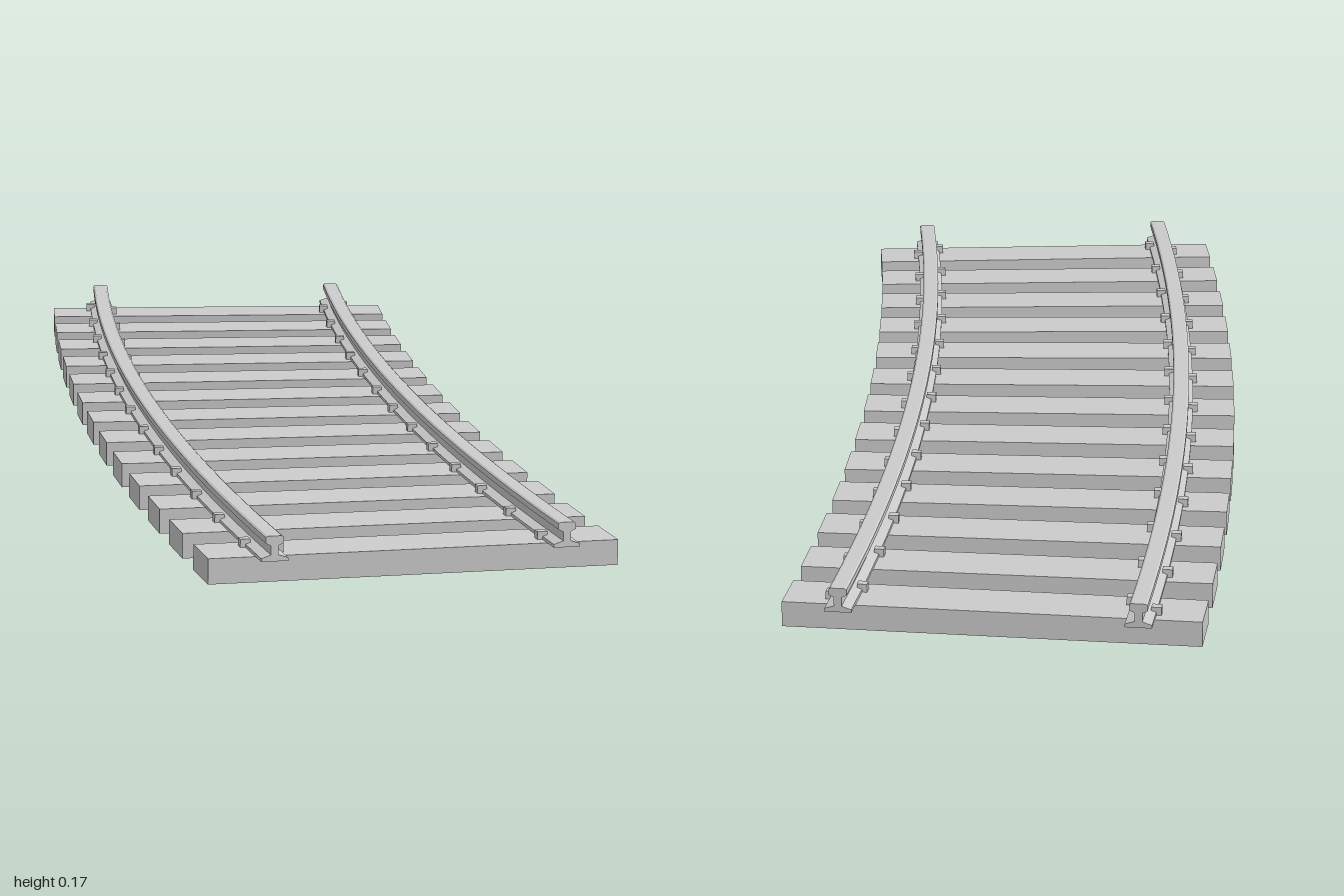
import * as THREE from 'three';

const R = 11.4;                                   // centreline radius
const HALF = THREE.MathUtils.degToRad(5.625);     // half of the swept angle
const TIES = 13, RISE = 0.094, GAUGE = 0.462;
const TIE_W = 0.1, TIE_H = 0.04, TIE_L = 0.65;
const CENTRE_Z = R - 0.025;                       // arc centre in the local frame
const SLOPE = Math.atan(RISE / (2 * R * HALF));

// Point on the climbing curve: angle, radius, height above the tie bottoms
function onTrack(a, r, h) {
  const ground = -0.0015 + RISE * (a + HALF) / (2 * HALF);
  return new THREE.Vector3(r * Math.sin(a), ground + h, CENTRE_Z - r * Math.cos(a));
}

function place(mesh, a, r, h) {
  mesh.position.copy(onTrack(a, r, h));
  mesh.rotation.set(0, -a, SLOPE, 'YXZ');
  return mesh;
}

// I-shaped rail section, swept along the curve
function railGeometry(radius) {
  const half = [[0.021, 0], [0.021, 0.005], [0.006, 0.010], [0.006, 0.024],
    [0.014, 0.028], [0.014, 0.037], [0.011, 0.039]];
  const pts = [...half, ...half.map(([x, y]) => [-x, y]).reverse()];
  const shape = new THREE.Shape(pts.map(([x, y]) => new THREE.Vector2(x, y)));
  const geo = new THREE.ExtrudeGeometry(shape, { depth: 1, steps: 26, bevelEnabled: false });
  const pos = geo.attributes.position;
  for (let i = 0; i < pos.count; i++) {
    const a = -HALF + 2 * HALF * pos.getZ(i);
    const p = onTrack(a, radius + pos.getX(i), TIE_H + pos.getY(i));
    pos.setXYZ(i, p.x, p.y, p.z);
  }
  geo.computeVertexNormals();
  return geo;
}

export function createModel() {
  const model = new THREE.Group();
  model.name = 'curvedTrack';
  const track = new THREE.Group();
  track.name = 'track';
  track.rotation.y = Math.PI / 4;
  model.add(track);

  const mat = new THREE.MeshStandardMaterial({ color: 0xcccccc, flatShading: true });
  const tieGeo = new THREE.BoxGeometry(TIE_W, TIE_H, TIE_L);
  const spikeGeo = new THREE.BoxGeometry(0.016, 0.014, 0.016);

  // Rails
  for (const side of [-1, 1]) {
    const rail = new THREE.Mesh(railGeometry(R + side * GAUGE / 2), mat);
    rail.name = side > 0 ? 'outerRail' : 'innerRail';
    track.add(rail);
  }

  // Ties, each with a staggered pair of spikes at both rails
  for (let i = 0; i < TIES; i++) {
    const a = -HALF + 2 * HALF * (i + 0.5) / TIES;
    const tie = place(new THREE.Mesh(tieGeo, mat), a, R, TIE_H / 2);
    tie.name = 'tie';
    track.add(tie);
    for (const side of [-1, 1]) for (const edge of [-1, 1]) {
      const r = R + side * GAUGE / 2 + edge * 0.021;
      const spike = place(new THREE.Mesh(spikeGeo, mat), a + side * edge * 0.02 / R, r, TIE_H + 0.006);
      spike.name = 'spike';
      track.add(spike);
    }
  }
  return model;
}
